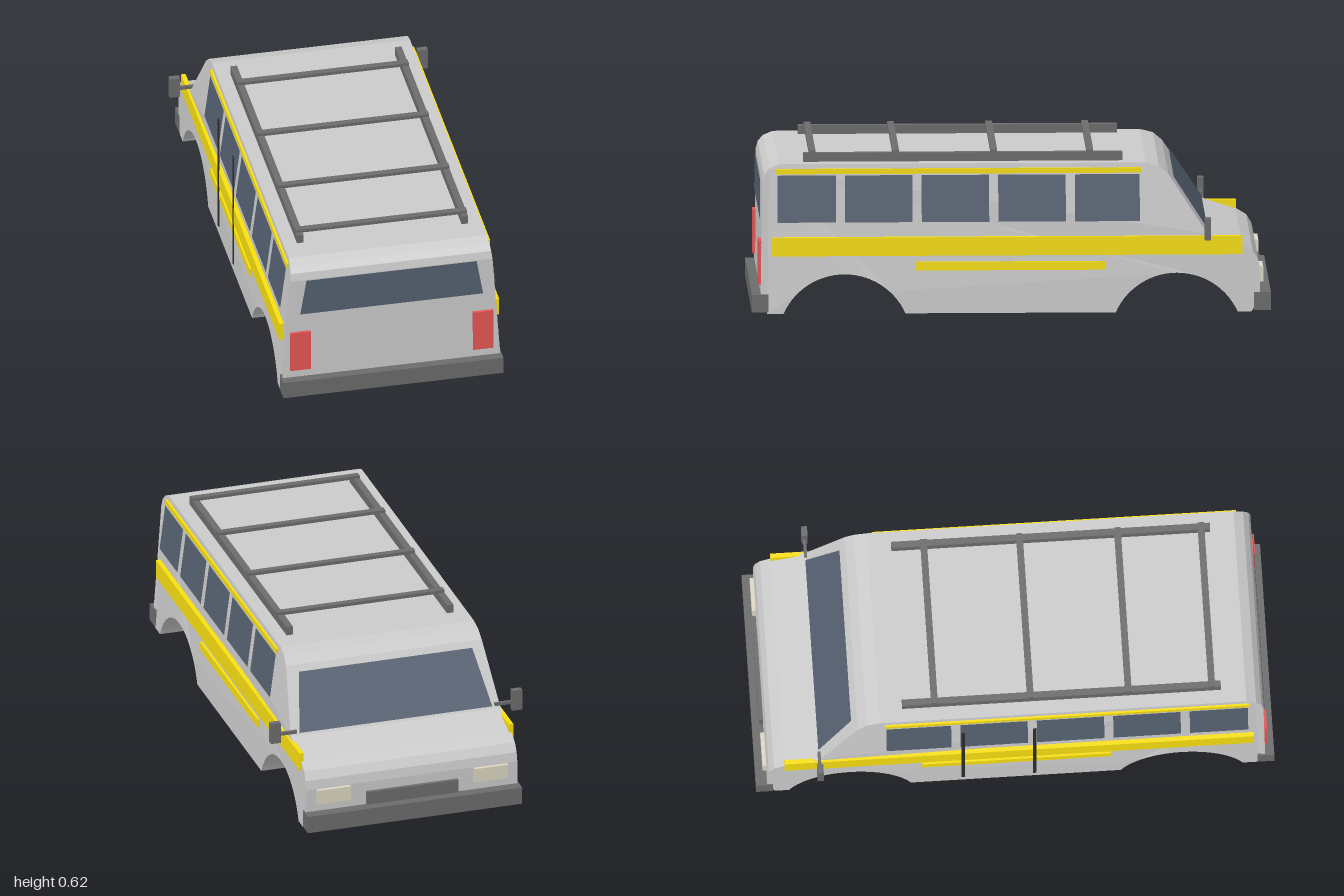
import * as THREE from 'three';

const mat = (color) => new THREE.MeshStandardMaterial({ color, flatShading: true });
const GREY = mat(0xcccccc), DARK = mat(0x6c6c6c), BLACK = mat(0x2c2c2c);
const YELLOW = mat(0xf8e010), RED = mat(0xe85555), LAMP = mat(0xddd8c4);
const GLASS = mat(0x556070);
GLASS.side = THREE.DoubleSide;

export function createModel() {
  const group = new THREE.Group();

  const add = (name, geometry, material) => {
    const mesh = new THREE.Mesh(geometry, material);
    mesh.name = name;
    group.add(mesh);
    return mesh;
  };
  // Box given by its limits on each axis
  const box = (name, material, [x0, x1], [y0, y1], [z0, z1]) =>
    add(name, new THREE.BoxGeometry(x1 - x0, y1 - y0, z1 - z0), material)
      .position.set((x0 + x1) / 2, (y0 + y1) / 2, (z0 + z1) / 2);
  // Thin pane through four corners, in order around the edge
  const pane = (name, corners) => {
    const g = new THREE.BufferGeometry();
    g.setAttribute('position', new THREE.Float32BufferAttribute(corners.flat(), 3));
    g.setIndex([0, 1, 2, 0, 2, 3]);
    g.computeVertexNormals();
    add(name, g, GLASS);
  };

  // Half width of the body: nearly upright below, leaning in above the waist
  const halfWidth = (y) => y < 0.3
    ? 0.43 - 0.005 * y / 0.3
    : 0.425 - 0.035 * (y - 0.3) / 0.28;

  // Body: side outline with both wheel arches, extruded across and tapered
  const outline = new THREE.Shape();
  outline.moveTo(-0.925, 0);
  for (const z of [-0.637, 0.643]) {
    outline.lineTo(z - 0.235, 0);
    outline.absarc(z, -0.104, 0.257, Math.PI - 0.417, 0.417, true);
  }
  for (const [z, y] of [
    [0.94, 0], [0.965, 0.06], [0.96, 0.51], [0.952, 0.54], [0.932, 0.562], [0.895, 0.578],
    [-0.52, 0.578], [-0.57, 0.565], [-0.605, 0.535],
    [-0.755, 0.305], [-0.89, 0.262], [-0.93, 0.238], [-0.95, 0.205], [-0.957, 0.17], [-0.957, 0.06],
  ]) outline.lineTo(z, y);
  const body = new THREE.ExtrudeGeometry(outline, { depth: 1, bevelEnabled: false, curveSegments: 14 });
  body.translate(0, 0, -0.5).rotateY(-Math.PI / 2);
  const p = body.attributes.position;
  for (let i = 0; i < p.count; i++) p.setX(i, Math.sign(p.getX(i)) * halfWidth(p.getY(i)));
  body.computeVertexNormals();
  add('body', body, GREY);

  // Windscreen and rear window
  pane('windscreen', [
    [0.39, 0.318, -0.757], [-0.39, 0.318, -0.757], [-0.35, 0.515, -0.628], [0.35, 0.515, -0.628],
  ]);
  pane('rearWindow', [
    [-0.36, 0.36, 0.967], [0.36, 0.36, 0.967], [0.335, 0.51, 0.965], [-0.335, 0.51, 0.965],
  ]);

  const sideWindows = [[0.675, 0.9], [0.38, 0.64], [0.085, 0.345], [-0.21, 0.05], [-0.495, -0.245]];
  for (const s of [1, -1]) {
    const side = s > 0 ? 'left' : 'right';
    const span = (a, b) => (s > 0 ? [a, b] : [-b, -a]);

    // Leaning side windows
    for (const [z0, z1] of sideWindows) {
      const low = s * 0.425, high = s * 0.402;
      pane(side + 'SideWindow', [
        [low, 0.355, z1], [low, 0.355, z0], [high, 0.535, z0], [high, 0.535, z1],
      ]);
    }

    // Yellow stripes
    box(side + 'WaistStripe', YELLOW, span(0.415, 0.433), [0.225, 0.297], [-0.89, 0.922]);
    box(side + 'LowerStripe', YELLOW, span(0.415, 0.432), [0.167, 0.2], [-0.36, 0.37]);
    box(side + 'RoofStripe', YELLOW, span(0.385, 0.401), [0.54, 0.56], [-0.5, 0.905]);

    // Lamps
    box(side + 'TailLight', RED, span(0.32, 0.4), [0.11, 0.28], [0.95, 0.974]);
    box(side + 'Headlight', LAMP, span(0.25, 0.385), [0.11, 0.168], [-0.972, -0.945]);

    // Mirror on its arm
    box(side + 'MirrorArm', DARK, span(0.4, 0.48), [0.319, 0.331], [-0.761, -0.749]);
    box(side + 'Mirror', DARK, span(0.468, 0.508), [0.292, 0.376], [-0.767, -0.743]);

    // Roof rack rail
    box(side + 'RackRail', DARK, span(0.311, 0.337), [0.575, 0.612], [-0.43, 0.8]);
  }

  // Roof rack crossbars
  for (const z of [-0.305, 0.065, 0.443, 0.765]) {
    box('rackCrossbar', DARK, [-0.337, 0.337], [0.61, 0.623], [z - 0.013, z + 0.013]);
  }

  // Sliding door seams, on one side only
  for (const z of [-0.2, 0.075]) {
    box('doorSeam', BLACK, [-0.435, -0.431], [0.04, 0.53], [z - 0.007, z + 0.007]);
  }

  // Bumpers and grille
  box('rearBumper', DARK, [-0.433, 0.433], [0.007, 0.076], [0.935, 1]);
  box('frontBumper', DARK, [-0.433, 0.433], [0.007, 0.076], [-1, -0.935]);
  box('grille', DARK, [-0.185, 0.185], [0.08, 0.132], [-0.972, -0.945]);

  return group;
}
